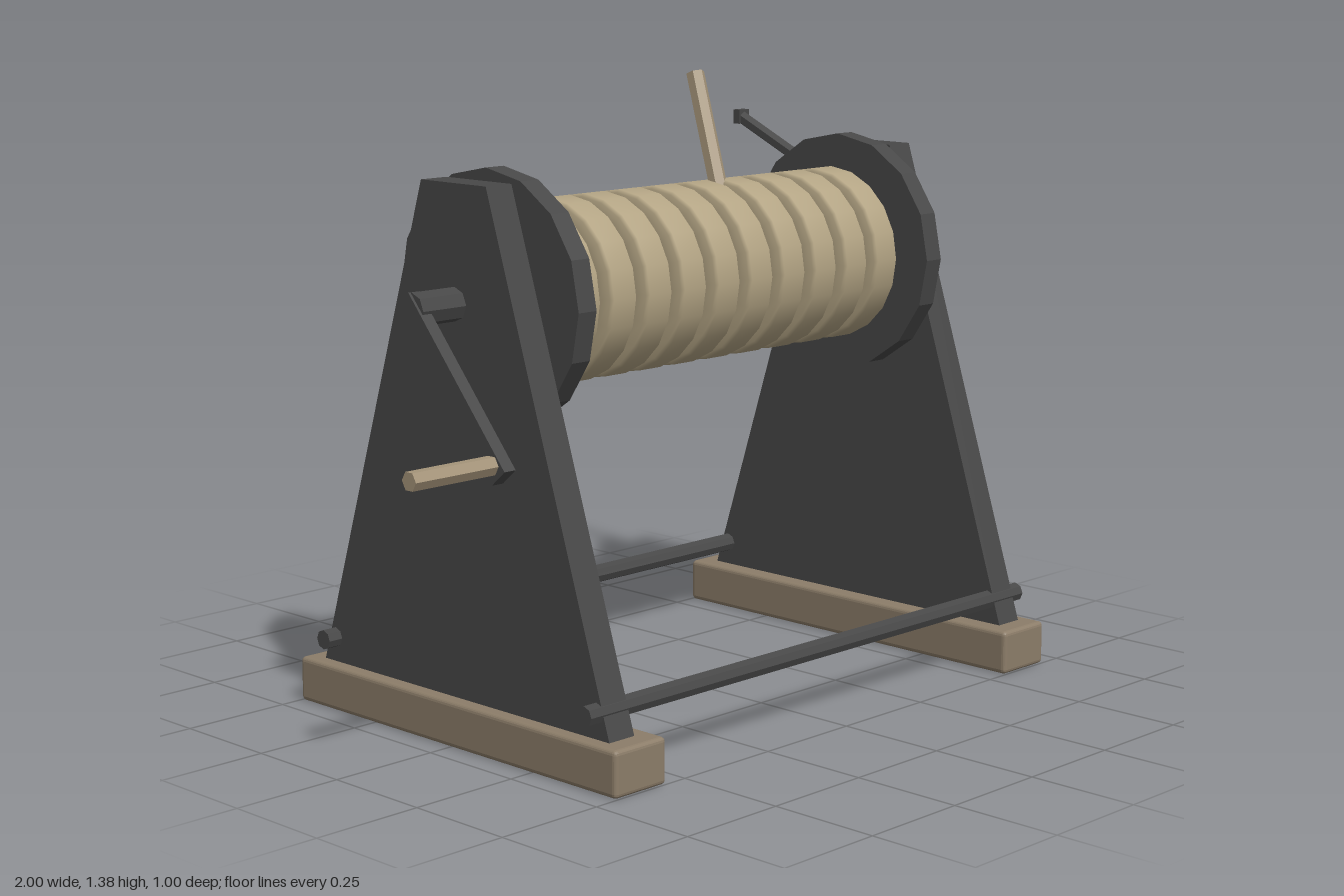
import * as THREE from 'three';
import { RoundedBoxGeometry } from 'three/addons/geometries/RoundedBoxGeometry.js';

const mat = (color, flatShading = true) => new THREE.MeshStandardMaterial({ color, flatShading });
const metal = mat(0x484848);
const wood = mat(0x8c7d69);
const grip = mat(0xa59479);
const rope = mat(0xb3a484, false);

const AXIS_Y = 0.94;

export function createModel() {
  const model = new THREE.Group();

  const add = (name, geometry, material, x = 0, y = 0, z = 0) => {
    const mesh = new THREE.Mesh(geometry, material);
    mesh.name = name;
    mesh.position.set(x, y, z);
    model.add(mesh);
    return mesh;
  };

  // Straight round bar between two points
  const bar = (name, a, b, radius, sides, material) => {
    const p = new THREE.Vector3(...a), q = new THREE.Vector3(...b);
    const dir = q.clone().sub(p);
    const mesh = add(name, new THREE.CylinderGeometry(radius, radius, dir.length(), sides), material);
    mesh.position.copy(p).add(q).multiplyScalar(0.5);
    mesh.quaternion.setFromUnitVectors(new THREE.Vector3(0, 1, 0), dir.normalize());
    return mesh;
  };

  // Tapered side plate, drawn in the z-y plane
  const plateShape = new THREE.Shape([
    new THREE.Vector2(-0.45, 0.1), new THREE.Vector2(0.45, 0.1),
    new THREE.Vector2(0.1, 1.19), new THREE.Vector2(-0.1, 1.19),
  ]);
  const plate = new THREE.ExtrudeGeometry(plateShape, { depth: 0.07, bevelEnabled: false });
  plate.translate(0, 0, -0.035).rotateY(Math.PI / 2);

  for (const s of [-1, 1]) {
    const side = s > 0 ? 'left' : 'right';
    add(side + 'FootBeam', new RoundedBoxGeometry(0.145, 0.1, 1, 2, 0.01), wood, s * 0.625, 0.05, 0);
    add(side + 'SidePlate', plate, metal, s * 0.63);
    bar(side + 'DrumFlange', [s * 0.525, AXIS_Y, 0], [s * 0.575, AXIS_Y, 0], 0.275, 16, metal);

    // Cranks point to opposite sides
    const arm = add(side + 'CrankArm', new THREE.BoxGeometry(0.03, 0.435, 0.05), metal,
      s * 0.771, 0.795, -s * 0.12);
    arm.rotation.x = s * Math.atan2(0.25, 0.29);
    bar(side + 'CrankHandle', [s * 0.76, 0.655, -s * 0.243], [s, 0.655, -s * 0.243], 0.021, 6, grip);

    bar(s > 0 ? 'frontTieRod' : 'rearTieRod',
      [-0.7, 0.155, s * 0.413], [0.7, 0.155, s * 0.413], 0.022, 8, metal);
  }

  // Axle and drum core
  bar('axle', [-0.78, AXIS_Y, 0], [0.78, AXIS_Y, 0], 0.036, 8, metal);
  bar('drum', [-0.53, AXIS_Y, 0], [0.53, AXIS_Y, 0], 0.16, 20, rope);

  // Rope coils with slightly rounded edges
  const profile = [[0.15, -0.041], [0.17, -0.041], [0.193, -0.038], [0.2, -0.032],
    [0.2, 0.032], [0.193, 0.038], [0.17, 0.041], [0.15, 0.041]].map(p => new THREE.Vector2(...p));
  const coil = new THREE.LatheGeometry(profile, 20).rotateZ(-Math.PI / 2);
  for (let i = 0; i < 10; i++) {
    add('ropeCoil' + (i + 1), coil, rope, -0.475 + i * 0.1053, AXIS_Y, 0);
  }

  // Loose rope end
  bar('ropeEnd', [0.12, 1.11, 0.005], [0.15, 1.37, -0.1], 0.021, 6, grip);

  // Ratchet wheel and locking lever
  bar('ratchetWheel', [0.57, AXIS_Y, 0], [0.597, AXIS_Y, 0], 0.21, 12, metal);
  bar('lockLever', [0.597, 1.115, -0.13], [0.597, 1.228, -0.375], 0.016, 6, metal);
  add('lockLeverTip', new THREE.BoxGeometry(0.034, 0.034, 0.02), metal, 0.597, 1.229, -0.375);

  return model;
}
